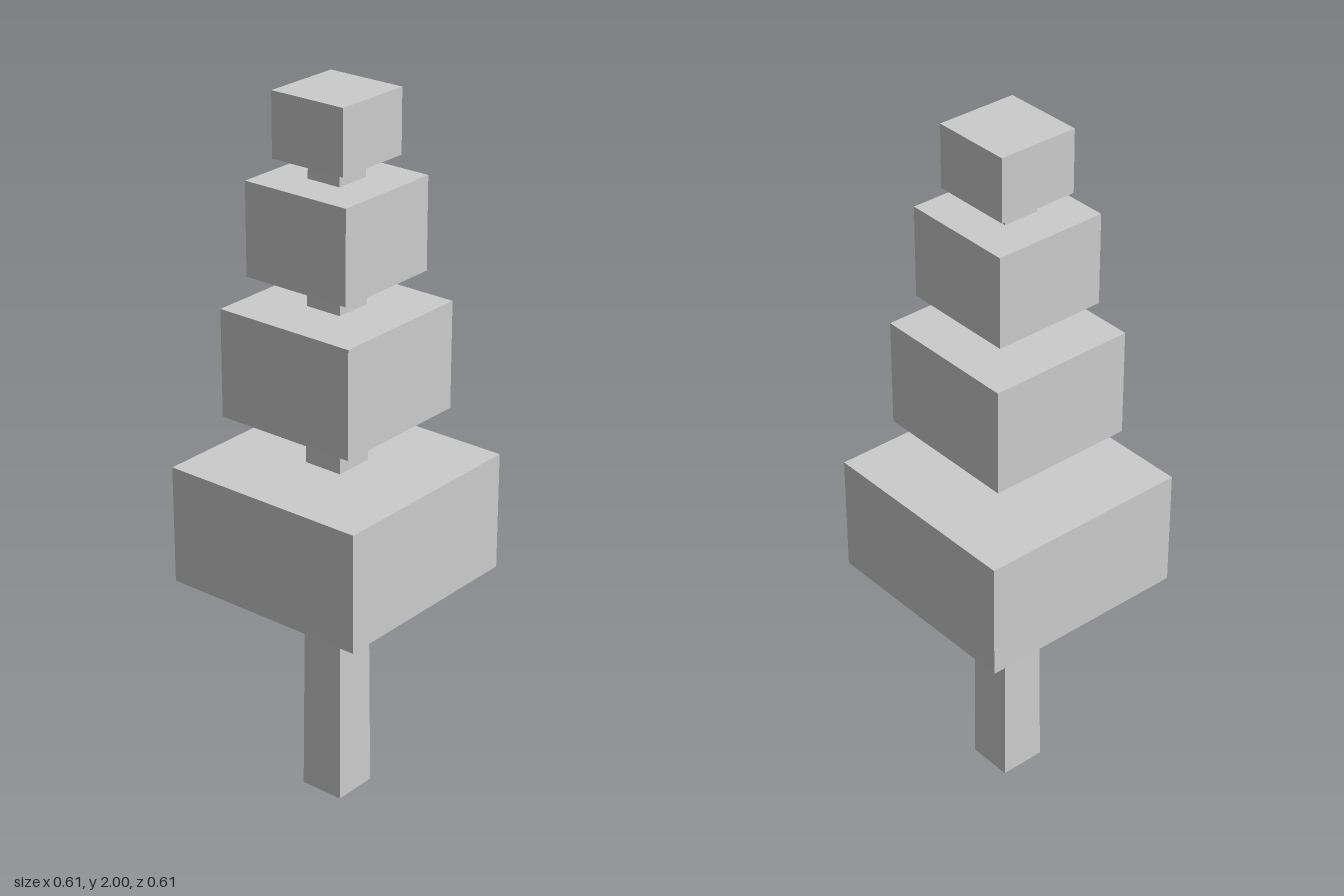
import * as THREE from 'three';

export function createModel() {
  const model = new THREE.Group();
  model.name = 'blockTree';
  const leafMaterial = new THREE.MeshStandardMaterial({ color: 0xcccccc, flatShading: true });
  const trunkMaterial = new THREE.MeshStandardMaterial({
    color: 0xcccccc, flatShading: true, side: THREE.DoubleSide,
  });

  // Square tapered trunk, open at the foot and ending inside the top tier
  const trunkTop = 1.84;
  const trunkGeometry = new THREE.CylinderGeometry(
    0.051 * Math.SQRT2, 0.066 * Math.SQRT2, trunkTop, 4, 1, true);
  trunkGeometry.rotateY(Math.PI / 4);
  trunkGeometry.translate(0, trunkTop / 2, 0);
  const trunk = new THREE.Mesh(trunkGeometry, trunkMaterial);
  trunk.name = 'trunk';
  model.add(trunk);

  // Foliage tiers, shrinking upwards: [width, bottom, top]
  const tiers = [
    [0.61, 0.655, 0.99],
    [0.42, 1.13, 1.43],
    [0.324, 1.515, 1.77],
    [0.228, 1.825, 2],
  ];
  tiers.forEach(([width, bottom, top], i) => {
    const tier = new THREE.Mesh(new THREE.BoxGeometry(width, top - bottom, width), leafMaterial);
    tier.position.y = (bottom + top) / 2;
    tier.name = `foliageTier${i + 1}`;
    model.add(tier);
  });

  return model;
}
